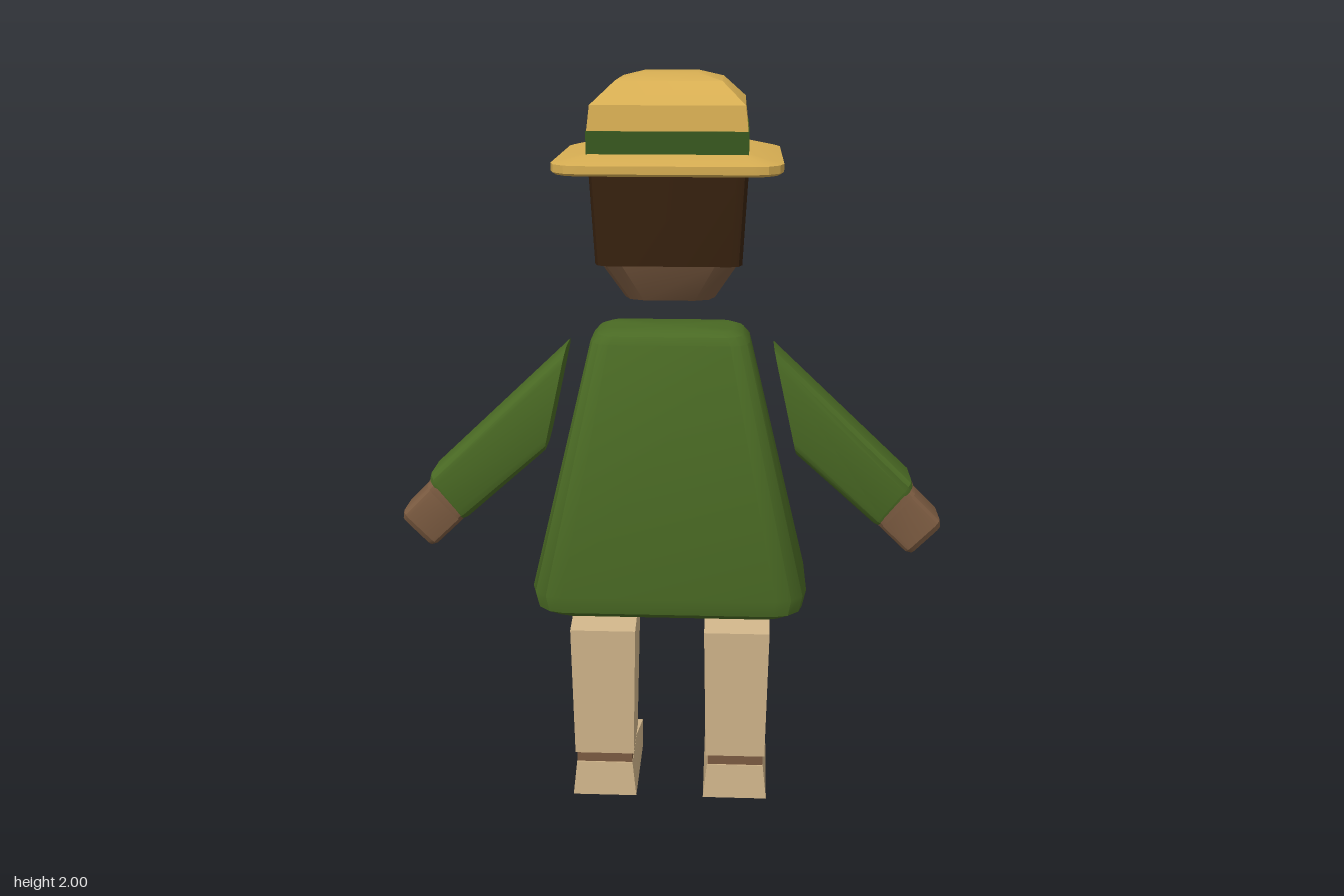
import * as THREE from 'three';
import { toCreasedNormals } from 'three/addons/utils/BufferGeometryUtils.js';

const GREEN = 0x4a6a24, BAND = 0x38581f, GOLD = 0xd6ad52, SKIN = 0x7a5a40, HAIR = 0x38220f, TAN = 0xcdb288;

// Rounded rectangle around centre c; a and b are half-side vectors, a x b points along the loft
function ring(c, a, b, r = 0, n = 0) {
  const C = new THREE.Vector3(...c), A = new THREE.Vector3(...a), B = new THREE.Vector3(...b);
  const la = A.length(), lb = B.length(), pts = [];
  const signs = [[1, 1], [-1, 1], [-1, -1], [1, -1]];
  signs.forEach(([sa, sb], k) => {
    for (let s = 0; s <= n; s++) {
      const t = (k + (n ? s / n : 0)) * Math.PI / 2;
      const p = n ? sa * (la - r) + r * Math.cos(t) : sa * la;
      const q = n ? sb * (lb - r) + r * Math.sin(t) : sb * lb;
      pts.push(C.clone().addScaledVector(A, p / la).addScaledVector(B, q / lb));
    }
  });
  return pts;
}

// Horizontal ring at height y
const level = (y, hx, hz, r, n, x = 0, z = 0) => ring([x, y, z], [0, 0, hz], [hx, 0, 0], r, n);

// Closed skin through equal-sized rings, with capped ends
function loft(rings, crease = 0.5) {
  const pos = [], tri = (...p) => p.forEach(v => pos.push(v.x, v.y, v.z));
  const n = rings[0].length;
  const mid = r => r.reduce((s, p) => s.add(p), new THREE.Vector3()).divideScalar(n);
  const first = rings[0], last = rings[rings.length - 1], m0 = mid(first), m1 = mid(last);
  for (let j = 0; j < n; j++) {
    const k = (j + 1) % n;
    for (let i = 0; i < rings.length - 1; i++) {
      const lo = rings[i], hi = rings[i + 1];
      tri(lo[j], lo[k], hi[k]);
      tri(lo[j], hi[k], hi[j]);
    }
    tri(m0, first[k], first[j]);
    tri(m1, last[j], last[k]);
  }
  const g = new THREE.BufferGeometry();
  g.setAttribute('position', new THREE.Float32BufferAttribute(pos, 3));
  return toCreasedNormals(g, crease);
}

export function createModel() {
  const model = new THREE.Group();
  const add = (name, geometry, color) => {
    const mesh = new THREE.Mesh(geometry, new THREE.MeshStandardMaterial({ color }));
    mesh.name = name;
    model.add(mesh);
    return mesh;
  };

  // Hat
  add('hatBrim', loft([
    level(1.772, 0.272, 0.272, 0.07, 3), level(1.778, 0.28, 0.28, 0.075, 3),
    level(1.797, 0.28, 0.28, 0.075, 3), level(1.816, 0.2, 0.2, 0.02, 3),
  ]), GOLD);
  add('hatBand', loft([level(1.81, 0.196, 0.196), level(1.87, 0.196, 0.196)]), BAND);
  add('hatCrown', loft([
    level(1.87, 0.194, 0.194), level(1.93, 0.187, 0.187),
    level(1.983, 0.13, 0.13), level(2.0, 0.068, 0.068),
  ]), GOLD);

  // Head, facing -z, with hair over the back and temples
  add('head', loft([
    level(1.44, 0.115, 0.1, 0.05, 2, 0, -0.007),
    level(1.54, 0.177, 0.146, 0.06, 2, 0, 0.003),
    level(1.78, 0.187, 0.156, 0.06, 2, 0, 0.007),
  ]), SKIN);
  add('backHair', loft([
    level(1.538, 0.184, 0.037, 0.03, 2, 0, 0.118),
    level(1.78, 0.197, 0.045, 0.03, 2, 0, 0.122),
  ]), HAIR);
  add('templeHair', loft([
    level(1.67, 0.191, 0.09, 0, 0, 0, 0.01),
    level(1.78, 0.197, 0.09, 0, 0, 0, 0.01),
  ]), HAIR);

  // Coat
  add('coat', loft([
    level(0.582, 0.32, 0.145, 0.06, 3), level(0.602, 0.36, 0.172, 0.08, 3),
    level(0.65, 0.37, 0.182, 0.085, 3), level(1.325, 0.207, 0.106, 0.05, 3),
    level(1.345, 0.19, 0.096, 0.045, 3), level(1.355, 0.165, 0.075, 0.035, 3),
  ]), GREEN);

  for (const s of [1, -1]) {
    const side = s > 0 ? 'left' : 'right';

    // Eye
    const eye = add(side + 'Eye', new THREE.BoxGeometry(0.036, 0.04, 0.012), HAIR);
    eye.position.set(s * 0.047, 1.655, -0.147);

    // Ring across the arm from its upper to its lower outline point
    const across = (tx, ty, bx, by, z, hz, r) => ring(
      [s * (tx + bx) / 2, (ty + by) / 2, z], [0, 0, s * hz],
      [s * (bx - tx) / 2, (by - ty) / 2, 0], r, 3);
    add(side + 'Sleeve', loft([
      across(0.27, 1.31, 0.335, 1.02, 0.007, 0.08, 0.045),
      across(0.638, 0.963, 0.543, 0.842, 0.03, 0.08, 0.03),
      across(0.642, 0.948, 0.553, 0.837, 0.031, 0.074, 0.025),
    ]), GREEN);
    add(side + 'Cuff', loft([
      across(0.632, 0.948, 0.547, 0.848, 0.032, 0.075, 0.025),
      across(0.65, 0.932, 0.56, 0.832, 0.033, 0.074, 0.025),
    ]), SKIN);
    add(side + 'Hand', loft([
      across(0.642, 0.93, 0.556, 0.835, 0.034, 0.064, 0.02),
      across(0.718, 0.855, 0.63, 0.764, 0.036, 0.065, 0.02),
      across(0.722, 0.836, 0.646, 0.757, 0.036, 0.054, 0.015),
    ]), SKIN);

    // Trouser leg with slanted top
    const x = s * 0.185;
    add(side + 'Leg', loft([
      level(0.13, 0.083, 0.08, 0, 0, x, 0.004),
      ring([x, 0.533, -0.03], [0, -0.023, 0.115], [0.09, 0, 0]),
    ]), TAN);
    add(side + 'Ankle', loft([
      level(0.09, 0.078, 0.075, 0, 0, x, 0.004),
      level(0.14, 0.078, 0.075, 0, 0, x, 0.004),
    ]), SKIN);

    // Shoe: side profile with rounded toe, extruded across the foot
    const p = new THREE.Shape();
    p.moveTo(-0.092, 0);
    p.lineTo(0.18, 0);
    p.quadraticCurveTo(0.2, 0, 0.2, 0.02);
    p.lineTo(0.2, 0.068);
    p.quadraticCurveTo(0.2, 0.095, 0.172, 0.095);
    p.lineTo(0.075, 0.1);
    p.lineTo(-0.083, 0.1);
    p.closePath();
    const shoe = new THREE.ExtrudeGeometry(p, { depth: 0.18, bevelEnabled: false, curveSegments: 4 });
    shoe.rotateY(Math.PI / 2).translate(x - 0.09, 0, 0);
    // Narrow the top of the heel towards the ankle
    const v = shoe.attributes.position;
    for (let i = 0; i < v.count; i++) {
      if (v.getY(i) > 0.097) v.setX(i, x + (v.getX(i) - x) * 0.88);
    }
    add(side + 'Shoe', toCreasedNormals(shoe, 0.5), TAN);
  }
  return model;
}
